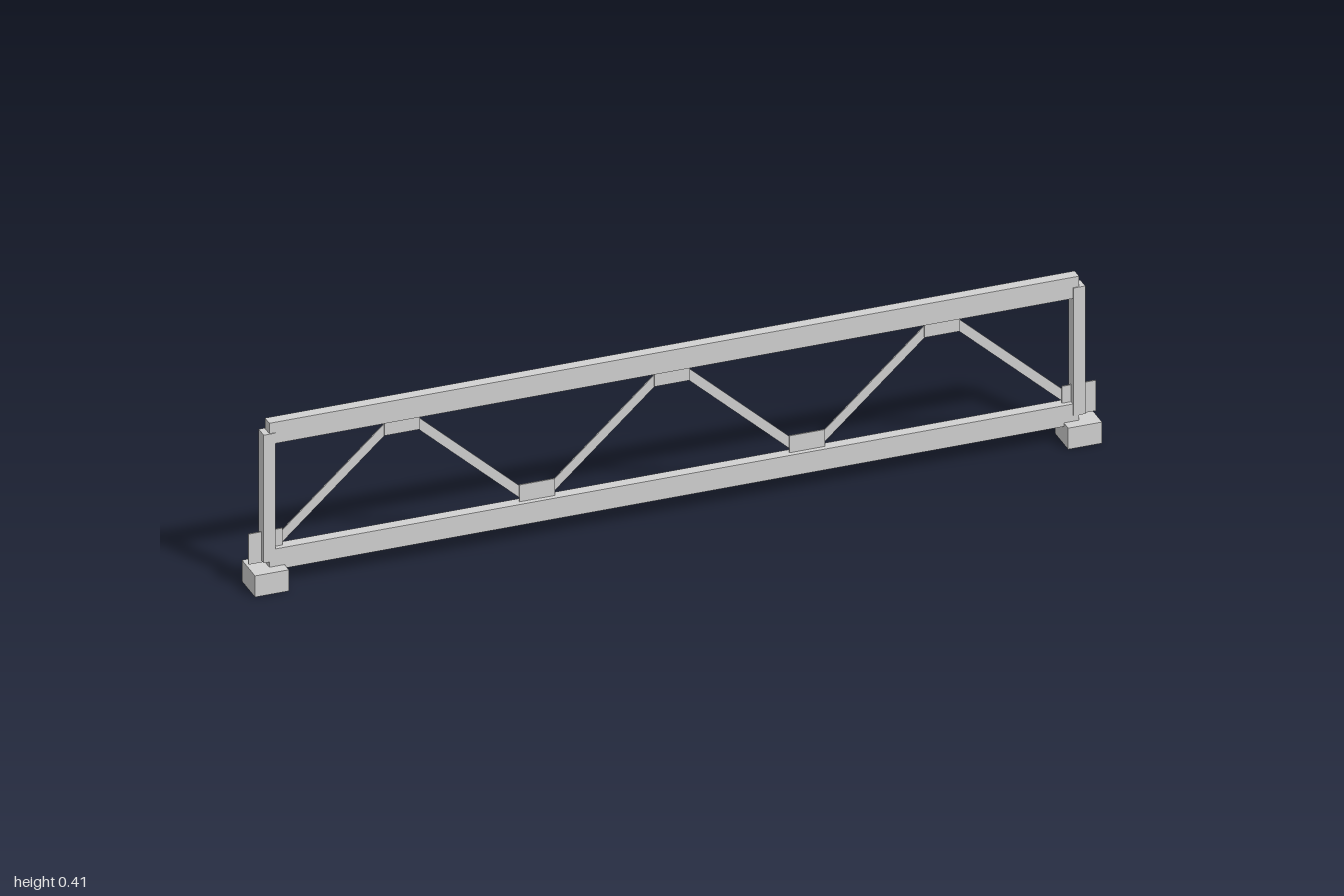
import * as THREE from 'three';

export function createModel() {
  const model = new THREE.Group();
  model.name = 'truss';
  const steel = new THREE.MeshStandardMaterial({ color: 0xd1d1d1 });
  steel.name = 'light steel grey';

  function add(name, geometry, x, y, z = 0) {
    const mesh = new THREE.Mesh(geometry, steel);
    mesh.name = name;
    mesh.position.set(x, y, z);
    model.add(mesh);
    return mesh;
  }

  // box given by its width, bottom, top and depth
  const block = (name, x, width, bottom, top, depth) =>
    add(name, new THREE.BoxGeometry(width, top - bottom, depth), x, (bottom + top) / 2);

  // chords
  block('topChord', 0, 1.912, 0.359, 0.412, 0.027);
  block('bottomChord', 0, 1.912, 0.044, 0.096, 0.027);

  // end posts, bearing blocks and end plates
  for (const side of [-1, 1]) {
    block('endPost', side * 0.956, 0.028, 0.067, 0.386, 0.031);
    block('bearingBlock', side * 0.96, 0.08, 0, 0.053, 0.08);
    block('endGusset', side * 0.96, 0.08, 0.062, 0.138, 0.003);
  }

  // gusset plates at the inner nodes
  for (const x of [-0.638, 0, 0.638]) block('topGusset', x, 0.084, 0.322, 0.398, 0.003);
  for (const x of [-0.319, 0.319]) block('bottomGusset', x, 0.084, 0.062, 0.138, 0.003);

  // angle-section diagonals, fixed to the back of the plates
  const width = 0.022, depth = 0.012, wall = 0.003;
  function diagonal(x1, y1, x2, y2) {
    const length = Math.hypot(x2 - x1, y2 - y1);
    const group = new THREE.Group();
    group.name = 'diagonal';
    group.position.set((x1 + x2) / 2, (y1 + y2) / 2, -0.0015);
    group.rotation.z = Math.atan2(y2 - y1, x2 - x1);
    const flange = new THREE.Mesh(new THREE.BoxGeometry(length, width, wall), steel);
    flange.name = 'diagonalFlange';
    flange.position.z = -wall / 2;
    const leg = new THREE.Mesh(new THREE.BoxGeometry(length, wall, depth - wall), steel);
    leg.name = 'diagonalLeg';
    leg.position.set(0, -width / 2 + wall / 2, -(depth + wall) / 2);
    group.add(flange, leg);
    model.add(group);
  }
  for (let i = 0; i < 6; i++) {
    const x = -0.957 + i * 0.319;
    const rising = i % 2 === 0;
    diagonal(x + 0.018, rising ? 0.099 : 0.356, x + 0.301, rising ? 0.356 : 0.099);
  }

  return model;
}
